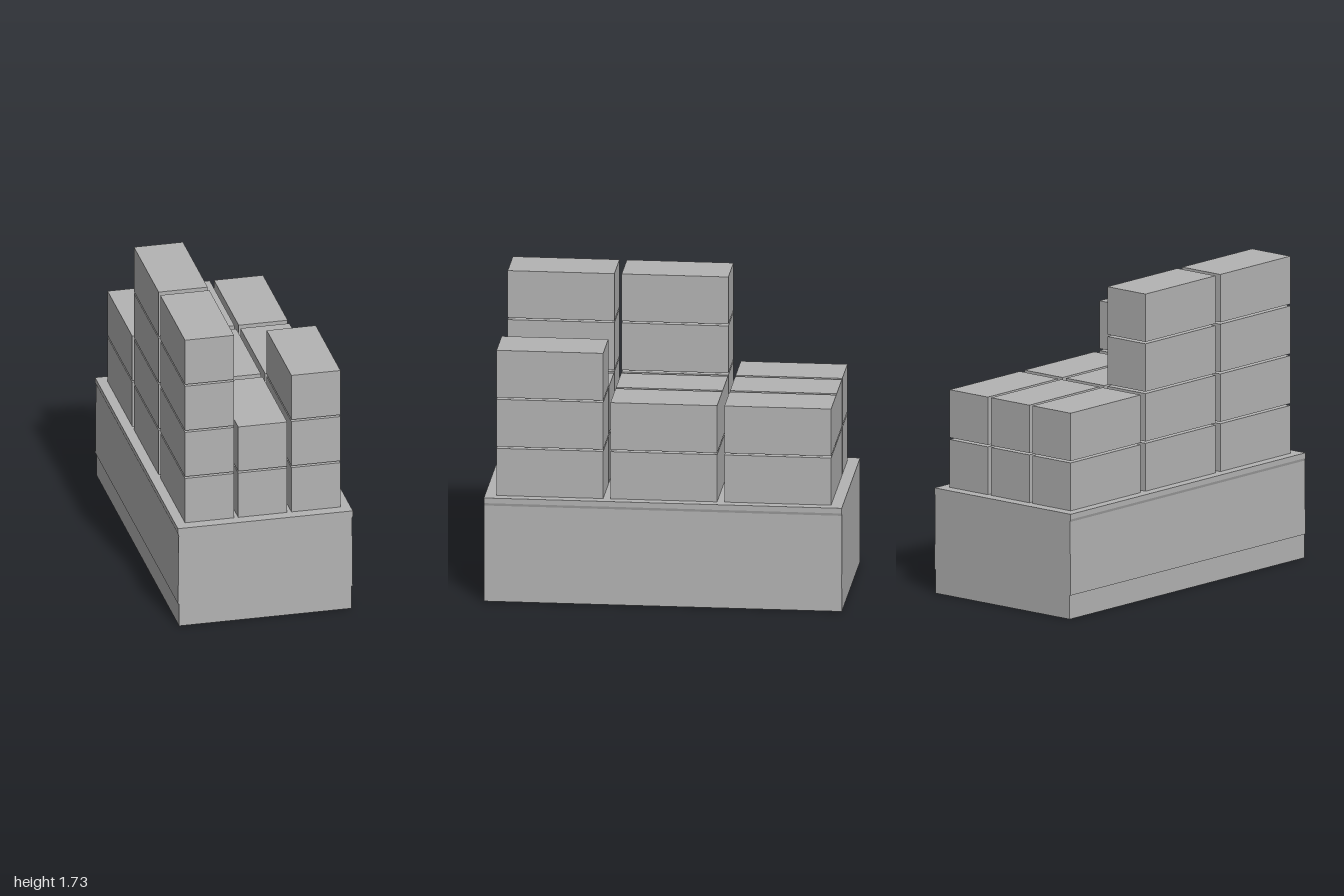
import * as THREE from 'three';

export function createModel() {
  const model = new THREE.Group();
  const grey = new THREE.MeshStandardMaterial({ color: 0xb3b3b3, side: THREE.DoubleSide });
  grey.name = 'plainGrey';

  const add = (parent, name, geometry, x, y, z, turn = 0) => {
    const mesh = new THREE.Mesh(geometry, grey);
    mesh.name = name;
    mesh.position.set(x, y, z);
    mesh.rotation.y = turn;
    parent.add(mesh);
  };

  // Base body: sides lean in slightly up to a small lip under the deck
  const skirtH = 0.136;
  const right = [[0.499, skirtH], [0.495, 0.555], [0.5, 0.57], [0.5, 0.6]];
  const left = right.map(([x, y]) => [-x, y]).reverse();
  const profile = new THREE.Shape([...right, ...left].map(([x, y]) => new THREE.Vector2(x, y)));
  const body = new THREE.ExtrudeGeometry(profile, { depth: 2, bevelEnabled: false });
  add(model, 'baseBody', body, 0, 0, -1);

  // Open skirt below the body, made of four thin walls
  const skirt = new THREE.Group();
  skirt.name = 'skirt';
  model.add(skirt);
  const halfW = 0.493;
  for (const s of [1, -1]) {
    add(skirt, 'skirtSide', new THREE.PlaneGeometry(2, skirtH), s * halfW, skirtH / 2, 0, s * Math.PI / 2);
    add(skirt, 'skirtEnd', new THREE.PlaneGeometry(halfW * 2, skirtH), 0, skirtH / 2, s, s > 0 ? 0 : Math.PI);
  }

  // Stacked crates: number of layers per column (-x to +x), rows from back to front
  const layers = [
    [2, 2, 2],
    [4, 2, 2],
    [4, 2, 3],
  ];
  const crates = new THREE.Group();
  crates.name = 'crates';
  model.add(crates);
  const crate = new THREE.BoxGeometry(0.28, 0.273, 0.596);
  layers.forEach((row, r) => row.forEach((count, c) => {
    for (let k = 0; k < count; k++) {
      add(crates, 'crate', crate, (c - 1) * 0.304, 0.6 + 0.1365 + k * 0.284, (r - 1) * 0.637);
    }
  }));

  return model;
}
